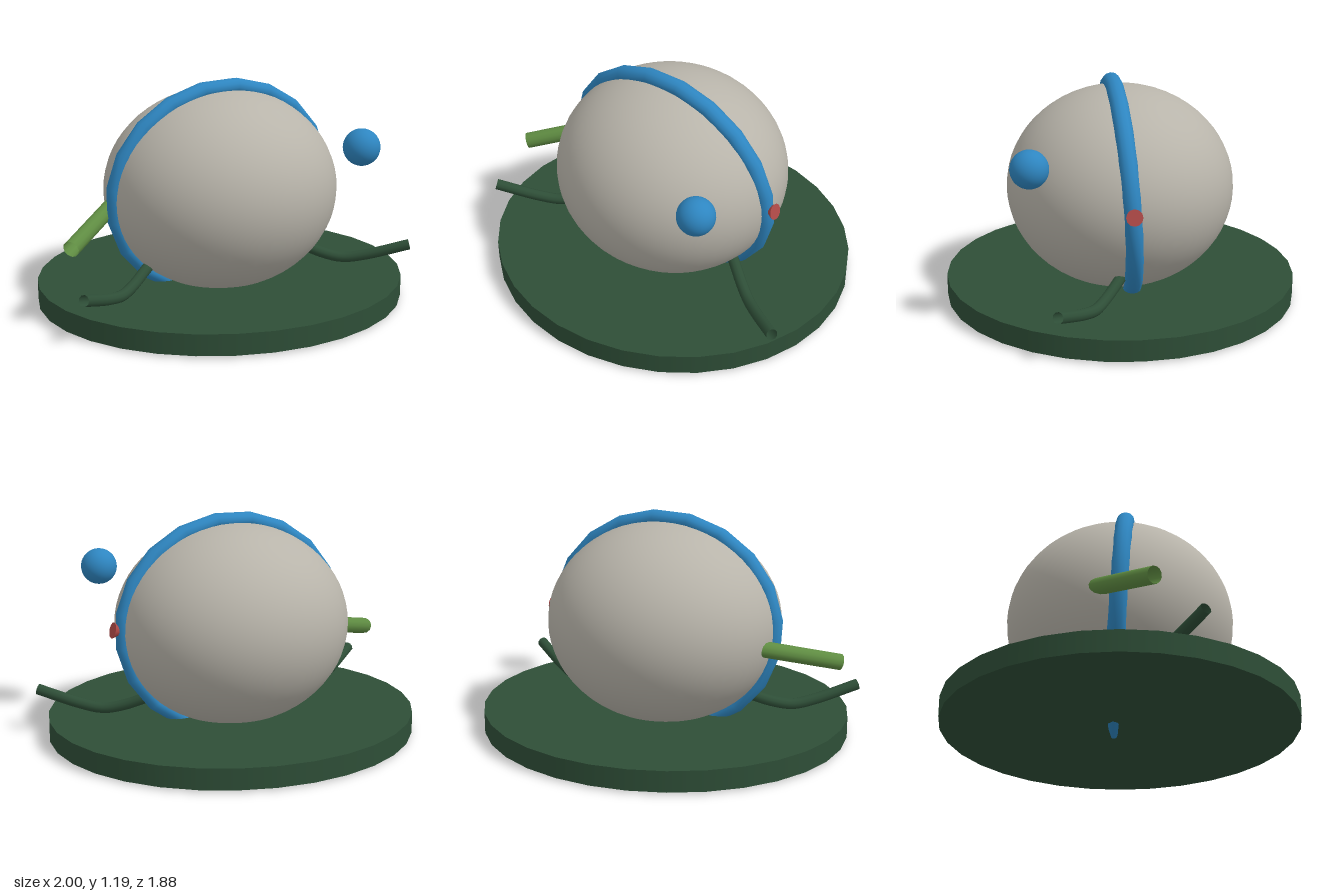
import * as THREE from 'three';

function material(name, color, side = THREE.FrontSide) {
  const m = new THREE.MeshStandardMaterial({ color, side });
  m.name = name;
  return m;
}

export function createModel() {
  const stone = material('warm grey', 0xb8b4aa);
  const blue = material('blue', 0x2e86c1);
  const red = material('red', 0xb04a48);
  const darkGreen = material('dark green', 0x2e4e37, THREE.DoubleSide);
  const lightGreen = material('light green', 0x5f8c42, THREE.DoubleSide);

  const model = new THREE.Group();
  model.name = 'model';

  function add(name, geometry, mat, x = 0, y = 0, z = 0) {
    const mesh = new THREE.Mesh(geometry, mat);
    mesh.name = name;
    mesh.position.set(x, y, z);
    model.add(mesh);
    return mesh;
  }

  // Oval base disc
  add('base', new THREE.CylinderGeometry(1, 1, 0.112, 32), darkGreen, 0, 0.082, 0).scale.z = 0.94;

  // Squashed round body
  add('body', new THREE.SphereGeometry(1, 48, 32), stone, 0, 0.617, 0).scale.set(0.632, 0.54, 0.607);

  // Oval band around the body, leaning slightly forward
  const bandGeometry = new THREE.TorusGeometry(0.622, 0.047, 12, 20);
  bandGeometry.rotateZ(-0.12);
  bandGeometry.scale(1, 0.9, 1);
  add('band', bandGeometry, blue, 0, 0.613, 0).rotation.x = 0.062;

  // Small cone on the band, its base facing outwards
  const gem = add('gem', new THREE.ConeGeometry(0.043, 0.07, 12), red, 0.647, 0.64, 0);
  gem.quaternion.setFromUnitVectors(new THREE.Vector3(0, 1, 0), new THREE.Vector3(-0.97, -0.24, 0).normalize());

  // Floating ball
  add('ball', new THREE.SphereGeometry(0.098, 32, 20), blue, 0.563, 0.878, 0.507);

  // Straight hollow stalk
  const stalk = new THREE.LineCurve3(
    new THREE.Vector3(-0.42, 0.615, -0.25),
    new THREE.Vector3(-0.935, 0.45, 0.165));
  add('stalk', new THREE.TubeGeometry(stalk, 4, 0.044, 12), lightGreen);

  // Mirrored curved arms
  for (const s of [1, -1]) {
    const path = new THREE.CatmullRomCurve3([
      [0.38, 0.285, 0], [0.48, 0.238, 0.062], [0.58, 0.192, 0.13],
      [0.67, 0.17, 0.19], [0.77, 0.188, 0.26], [0.97, 0.257, 0.4],
    ].map(([x, y, z]) => new THREE.Vector3(s * x, y, z)));
    add(s > 0 ? 'leftArm' : 'rightArm', new THREE.TubeGeometry(path, 24, 0.03, 10), darkGreen);
  }

  return model;
}
